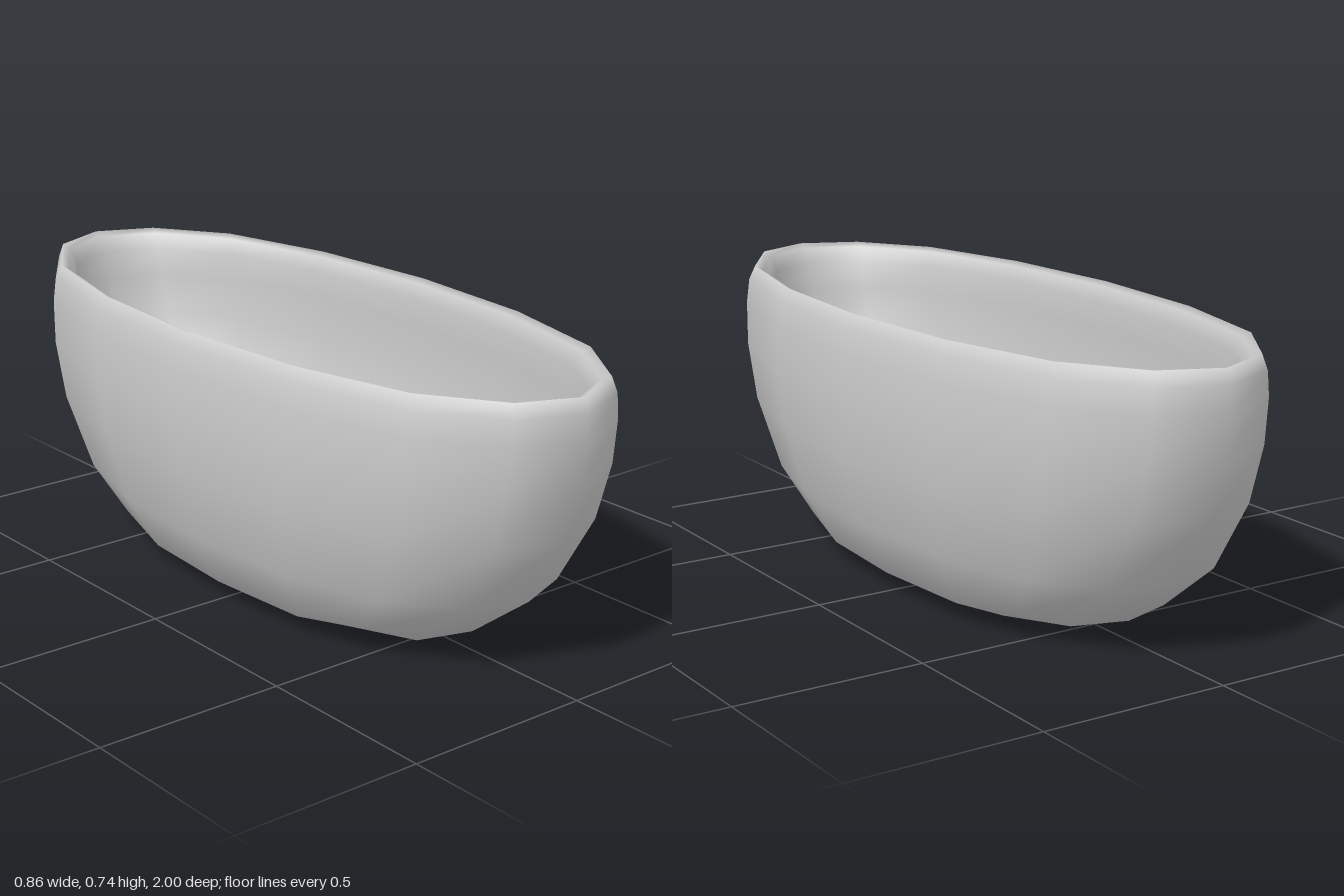
import * as THREE from 'three';
import { mergeVertices } from 'three/addons/utils/BufferGeometryUtils.js';

const SIDES = 16;

// Outline of a ring over an eighth turn: [short, long] of the in-between point,
// then the corner point and how far the corner is lifted
const WALL = { short: 0.395, long: 0.932, corner: 0.732, lift: 0 };
const EDGE = { short: 0.47, long: 0.93, corner: 0.79, lift: 0.027 };
const FLOOR = { short: 0.93, long: 0.93, corner: 0.93, lift: 0 };

// Unit outline point j of 16, starting at +z and turning towards +x
function outlinePoint({ short, long, corner }, j) {
  const [u, v] = [[0, 1], [short, long], [corner, corner], [long, short]][j % 4];
  const turn = Math.floor(j / 4);
  return [[u, v], [v, -u], [-u, -v], [-v, u]][turn];
}

// Joins rings [half width, half length, height, outline] into one smooth skin
function loftRings(rings) {
  const positions = [], indices = [];
  for (const [rx, rz, y, outline] of rings) {
    for (let j = 0; j < SIDES; j++) {
      const [u, v] = outlinePoint(outline, j);
      positions.push(rx * u, y + (j % 4 === 2 ? outline.lift : 0), rz * v);
    }
  }
  for (let i = 0; i < rings.length - 1; i++) {
    for (let j = 0; j < SIDES; j++) {
      const a = i * SIDES + j, b = i * SIDES + (j + 1) % SIDES;
      indices.push(a, b, b + SIDES, a, b + SIDES, a + SIDES);
    }
  }
  const geometry = new THREE.BufferGeometry();
  geometry.setAttribute('position', new THREE.Float32BufferAttribute(positions, 3));
  geometry.setIndex(indices);
  const welded = mergeVertices(geometry);
  welded.computeVertexNormals();
  return welded;
}

export function createModel() {
  const group = new THREE.Group();
  group.name = 'ovalBowl';

  // Outer wall, from the middle of the base up to the rim
  const outside = [
    [0, 0, 0.002, FLOOR], [0.165, 0.35, 0.002, FLOOR], [0.30, 0.64, 0.052, EDGE],
    [0.38, 0.83, 0.195, WALL], [0.42, 0.94, 0.38, WALL], [0.43, 0.985, 0.53, WALL],
    [0.422, 1.0, 0.645, WALL], [0.411, 0.998, 0.708, WALL], [0.392, 0.985, 0.745, WALL],
  ];
  // Rounded lip and inner wall, from the rim down to the middle of the floor
  const inside = [
    [0.372, 0.96, 0.735, WALL], [0.357, 0.932, 0.695, WALL], [0.361, 0.92, 0.62, WALL],
    [0.362, 0.895, 0.51, WALL], [0.349, 0.84, 0.38, WALL], [0.308, 0.73, 0.245, WALL],
    [0.24, 0.54, 0.14, EDGE], [0.13, 0.28, 0.098, FLOOR], [0, 0, 0.095, FLOOR],
  ];

  const bowl = new THREE.Mesh(
    loftRings([...outside, ...inside]),
    new THREE.MeshStandardMaterial({ color: 0xcccccc, side: THREE.DoubleSide }),
  );
  bowl.name = 'bowl';
  group.add(bowl);
  return group;
}
